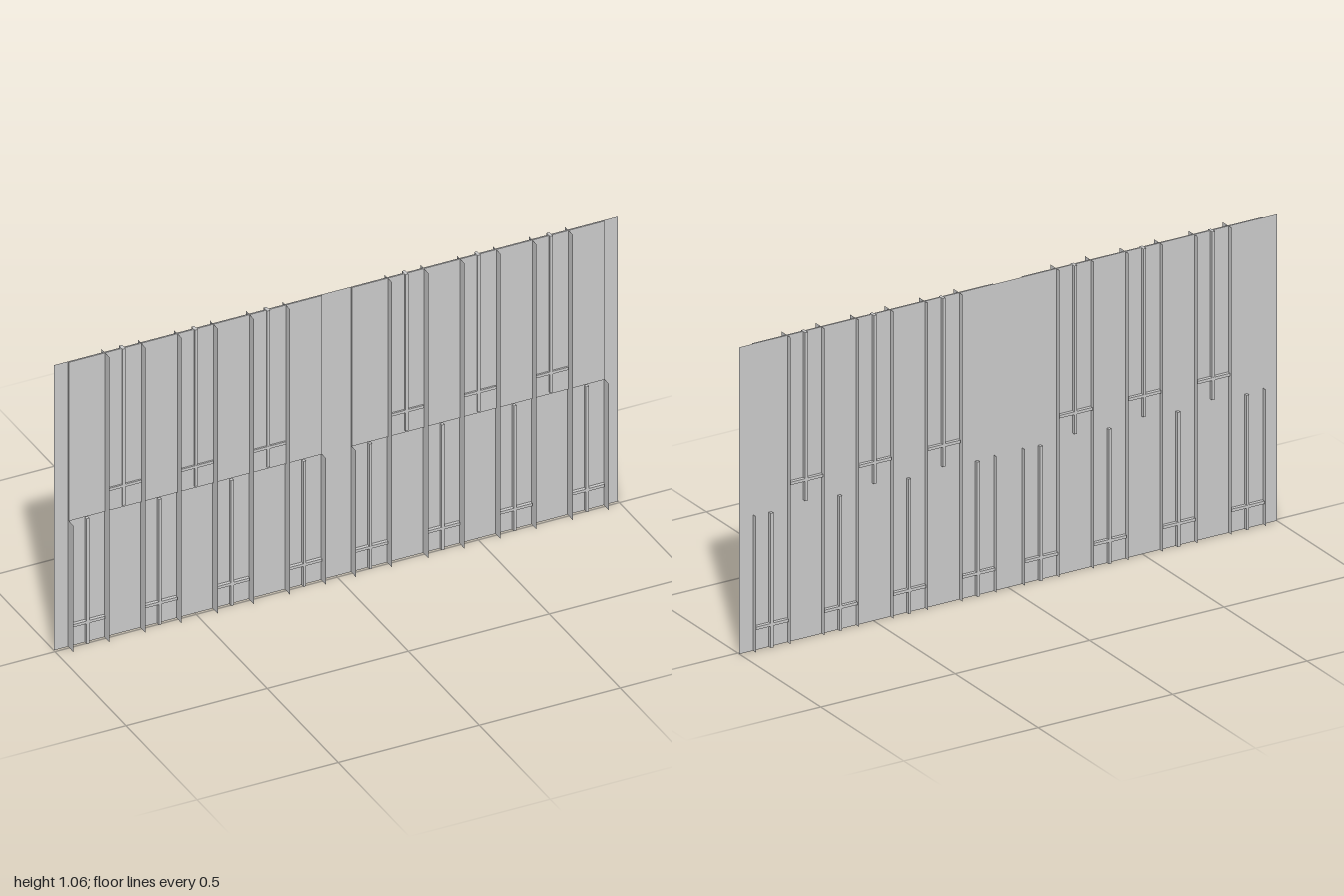
import * as THREE from 'three';

export function createModel() {
  const group = new THREE.Group();
  group.name = 'facade';
  const mat = new THREE.MeshStandardMaterial({ color: 0xcccccc, side: THREE.DoubleSide, flatShading: true });

  const H = 1.06;        // full height
  const SPLIT = 0.47;    // floor line
  const X0 = 0.053;      // inner edge of each wing
  const BAY = 0.128;     // bay width
  const BAYS = 7;
  const WALL_Z = -0.009;
  const BAR = 0.01;      // window bar width

  const add = (name, geometry, x, y, z) => {
    const mesh = new THREE.Mesh(geometry, mat);
    mesh.name = name;
    mesh.position.set(x, y, z);
    group.add(mesh);
    return mesh;
  };

  // Box spanning y0..y1 and z0..z1
  const box = (name, x, w, y0, y1, z0, z1) =>
    add(name, new THREE.BoxGeometry(w, y1 - y0, z1 - z0), x, (y0 + y1) / 2, (z0 + z1) / 2);

  // Thin main wall
  add('wall', new THREE.PlaneGeometry(2, H), 0, H / 2, WALL_Z);

  for (const side of [-1, 1]) {
    // Slightly raised upper storey panel
    const width = BAY * BAYS;
    box('upperPanel', side * (X0 + width / 2), width, SPLIT, H, WALL_Z + 0.0005, -0.003);

    // Thin vertical fins; the outermost and innermost stop at the floor line
    for (let i = 0; i <= BAYS; i++) {
      const h = i === 0 || i === BAYS ? SPLIT : H;
      const fin = add('fin', new THREE.PlaneGeometry(0.054, h), side * (X0 + i * BAY), h / 2, 0);
      fin.rotation.y = Math.PI / 2;
    }

    // Window bars, alternating between lower and upper storey
    for (let i = 0; i < BAYS; i++) {
      const x = side * (X0 + (i + 0.5) * BAY);
      const upper = i % 2 === 1;
      const [y0, y1, sill] = upper ? [0.478, H, 0.551] : [0, 0.465, 0.08];
      box('mullion', x, BAR, y0, y1, -0.021, 0.003);
      box('transom', x, BAY - 0.006, sill - BAR / 2, sill + BAR / 2, -0.0212, 0.0032);
    }
  }
  return group;
}
